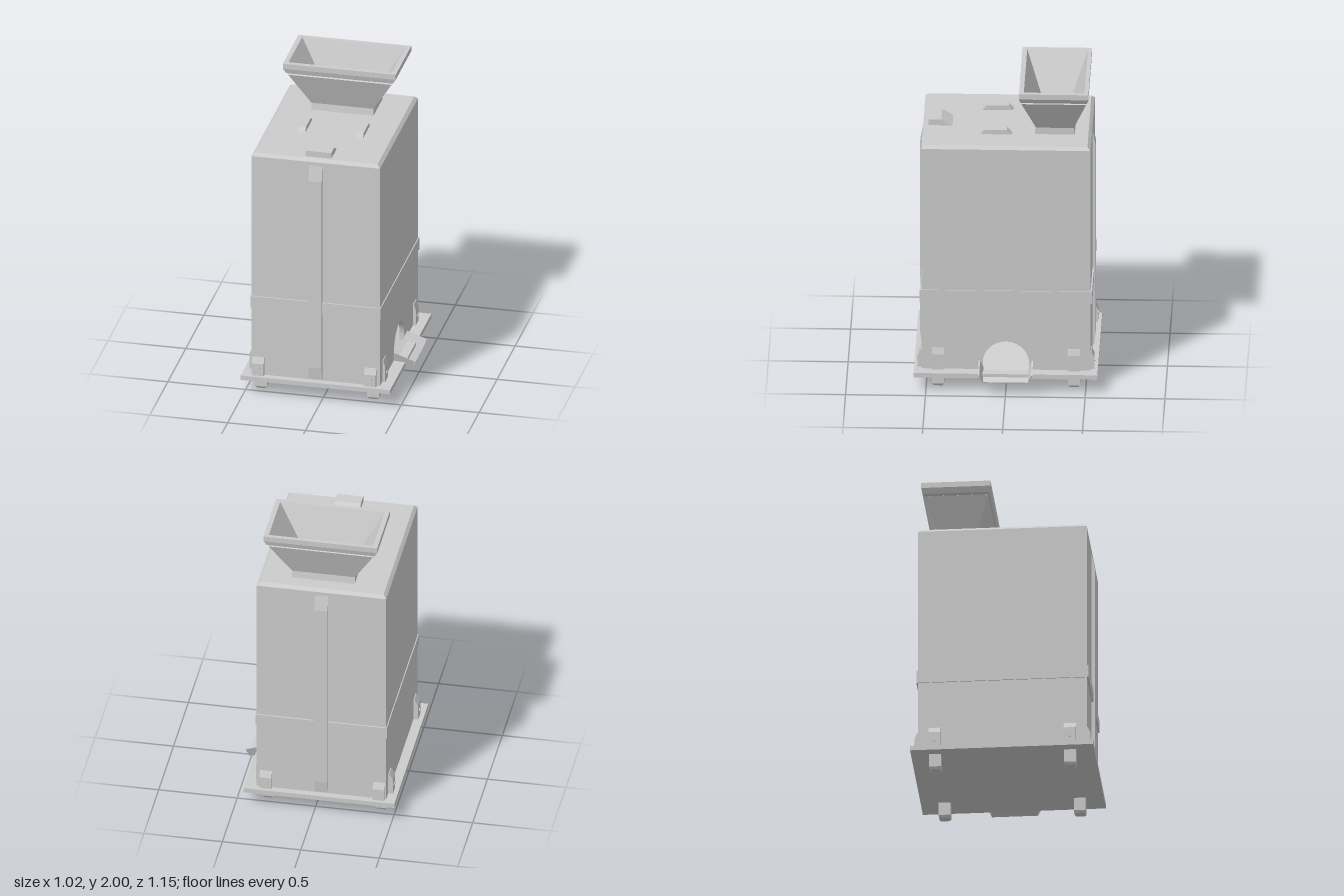
import * as THREE from 'three';

const grey = new THREE.MeshStandardMaterial({ color: 0xcccccc, flatShading: true, side: THREE.DoubleSide });

function add(parent, name, geometry, x = 0, y = 0, z = 0) {
  const mesh = new THREE.Mesh(geometry, grey);
  mesh.name = name;
  mesh.position.set(x, y, z);
  parent.add(mesh);
  return mesh;
}

// Skin through rectangular rings [x0, x1, z0, z1, y]; outside runs upwards
function rectLoft(rings) {
  const pos = [];
  const corners = rings.map(([x0, x1, z0, z1, y]) => [[x0, y, z0], [x0, y, z1], [x1, y, z1], [x1, y, z0]]);
  for (let i = 0; i < corners.length - 1; i++) {
    for (let k = 0; k < 4; k++) {
      const n = (k + 1) % 4;
      const a = corners[i][k], b = corners[i][n], c = corners[i + 1][n], d = corners[i + 1][k];
      pos.push(...a, ...b, ...c, ...a, ...c, ...d);
    }
  }
  const g = new THREE.BufferGeometry();
  g.setAttribute('position', new THREE.Float32BufferAttribute(pos, 3));
  g.computeVertexNormals();
  return g;
}

// Side profile in x/y, extruded along z and centred
function profile(points, width) {
  const shape = new THREE.Shape(points.map(p => new THREE.Vector2(...p)));
  return new THREE.ExtrudeGeometry(shape, { depth: width, bevelEnabled: false }).translate(0, 0, -width / 2);
}

const X0 = -0.455, X1 = 0.37, Z = 0.53, MID = (X0 + X1) / 2;
const BASE = 0.13, LID = 1.635, TOP = 1.655, WALL = 0.03;

function buildBody(model) {
  const body = new THREE.Group();
  body.name = 'body';
  model.add(body);
  const h = LID - BASE, cy = (LID + BASE) / 2;
  for (const s of [1, -1])
    add(body, s > 0 ? 'frontWall' : 'backWall', new THREE.BoxGeometry(X1 - X0, h, WALL), MID, cy, s * (Z - WALL / 2));
  add(body, 'rightWall', new THREE.BoxGeometry(WALL, h, 2 * Z), X0 + WALL / 2, cy, 0);

  // Wall with the arched outlet
  const wall = new THREE.Shape();
  wall.moveTo(-Z, BASE).lineTo(-0.145, BASE).lineTo(-0.145, 0.175);
  wall.absarc(0, 0.175, 0.145, Math.PI, 0, true);
  wall.lineTo(0.145, BASE).lineTo(Z, BASE).lineTo(Z, LID).lineTo(-Z, LID);
  const outlet = new THREE.ExtrudeGeometry(wall, { depth: WALL, bevelEnabled: false, curveSegments: 24 });
  add(body, 'outletWall', outlet.rotateY(Math.PI / 2), X1 - WALL);

  // Chamfered lid with the feed opening
  const c = 0.02;
  add(body, 'lid', rectLoft([
    [X0, X1, -Z, Z, LID], [X0 + c, X1 - c, -Z + c, Z - c, TOP],
    [-0.18, 0.11, -0.375, -0.225, TOP], [-0.18, 0.11, -0.375, -0.225, LID], [X0, X1, -Z, Z, LID],
  ]));

  // Belt around the lower body
  const outer = [X0 - 0.006, X1 + 0.006, -Z - 0.01, Z + 0.01], inner = [X0, X1, -Z, Z];
  add(body, 'belt', rectLoft([[...inner, 0.59], [...outer, 0.59], [...outer, 0.67], [...inner, 0.67]]));

  // Upright ribs on front and back
  for (const s of [1, -1]) {
    const rib = add(body, s > 0 ? 'frontRib' : 'backRib',
      profile([[-0.005, 0.14], [0.01, 0.14], [0.02, 0.22], [0.02, 1.51], [0, 1.61], [-0.005, 1.61]], 0.085), MID, 0, s * Z);
    rib.rotation.y = -s * Math.PI / 2;
  }
}

function buildHopper(model) {
  const neck = [-0.235, 0.165, -0.425, -0.175], mouth = [-0.365, 0.3, -0.49, -0.11];
  const throat = [-0.18, 0.11, -0.375, -0.225], rim = [-0.395, 0.33, -0.515, -0.08];
  add(model, 'hopper', rectLoft([
    [...neck, TOP], [-0.235, 0.165, -0.418, -0.182, 1.7],
    [-0.365, 0.3, -0.5, -0.095, 1.92], [-0.355, 0.29, -0.49, -0.105, 1.925],
    [-0.375, 0.31, -0.505, -0.09, 1.932], [...rim, 1.965], [...rim, 2],
    [...mouth, 2], [...throat, 1.7], [...throat, LID],
  ]));

  // Toothed crushing rollers below the throat
  for (const s of [1, -1]) {
    const gear = new THREE.Shape();
    const teeth = 14;
    for (let i = 0; i < teeth * 4; i++) {
      const a = (i / (teeth * 4)) * 2 * Math.PI, r = i % 4 < 2 ? 0.17 : 0.14;
      gear[i ? 'lineTo' : 'moveTo'](r * Math.cos(a), r * Math.sin(a));
    }
    const roller = new THREE.ExtrudeGeometry(gear, { depth: 0.9, bevelEnabled: false }).translate(0, 0, -0.45);
    add(model, 'roller', roller, MID + s * 0.165, 1.4, 0);
  }
}

function buildBase(model) {
  add(model, 'basePlate', new THREE.BoxGeometry(0.96, 0.03, 1.15), -0.035, 0.115, 0);
  const w = 0.0375, e = 0.028;
  for (const x of [-0.41, 0.31]) for (const z of [0.425, -0.425])
    add(model, 'foot', rectLoft([[0, 0, 0, 0, 0], [-e, e, -e, e, 0], [-w, w, -w, w, 0.015], [-w, w, -w, w, 0.1]]), x, 0, z);
}

// Clamp bracket with bolt, facing +x before rotation
function bracket(model, x, z, angle, depth, height) {
  const g = new THREE.Group();
  g.name = 'bracket';
  add(g, 'bracketPlate', profile([[-0.005, 0], [depth, 0], [depth, height - 0.04], [0.005, height], [-0.005, height]], 0.076));
  const bolt = new THREE.CylinderGeometry(0.011, 0.011, 0.012, 12).rotateZ(Math.PI / 2);
  add(g, 'bolt', bolt, depth, 0.05, 0);
  g.position.set(x, BASE, z);
  g.rotation.y = angle;
  model.add(g);
}

function buildChute(model) {
  // Flared trough, sloping down out of the arch
  const slope = 0.34, t = 0.008;
  const trough = new THREE.Shape([
    [-0.145, 0], [0.145, 0], [0.17, 0.066], [0.162, 0.066], [0.14, t], [-0.14, t], [-0.162, 0.066], [-0.17, 0.066],
  ].map(p => new THREE.Vector2(...p)));
  const g = new THREE.ExtrudeGeometry(trough, { depth: 0.135, bevelEnabled: false });
  g.rotateY(Math.PI / 2).rotateZ(-slope);
  add(model, 'chute', g, 0.36, 0.131, 0);
  // Ramp feeding the chute inside the body
  add(model, 'innerRamp', profile([[X0 + WALL, 0.135], [0.36, 0.135], [X0 + WALL, 0.4]], 0.96));
}

export function createModel() {
  const model = new THREE.Group();
  model.name = 'shredder';
  buildBody(model);
  buildHopper(model);
  buildBase(model);
  buildChute(model);

  // Brackets on all four sides
  for (const z of [0.425, -0.425]) {
    bracket(model, X1, z, 0, 0.018, 0.145);
    bracket(model, X0, z, Math.PI, 0.03, 0.145);
  }
  for (const x of [-0.41, 0.31]) for (const s of [1, -1])
    bracket(model, x, s * Z, -s * Math.PI / 2, 0.023, 0.12);

  // Lid handles and front stop block
  for (const x of [-0.218, 0.153]) {
    const handle = add(model, 'lidHandle', profile([[-0.03, 0], [0.165, 0], [0.14, 0.03], [0, 0.03]], 0.046), x, TOP, 0);
    handle.rotation.y = -Math.PI / 2;
  }
  const block = add(model, 'lidBlock', profile([[0.345, 0], [0.495, 0], [0.495, 0.038], [0.415, 0.038]], 0.165), -0.033, TOP, 0);
  block.rotation.y = -Math.PI / 2;
  return model;
}
